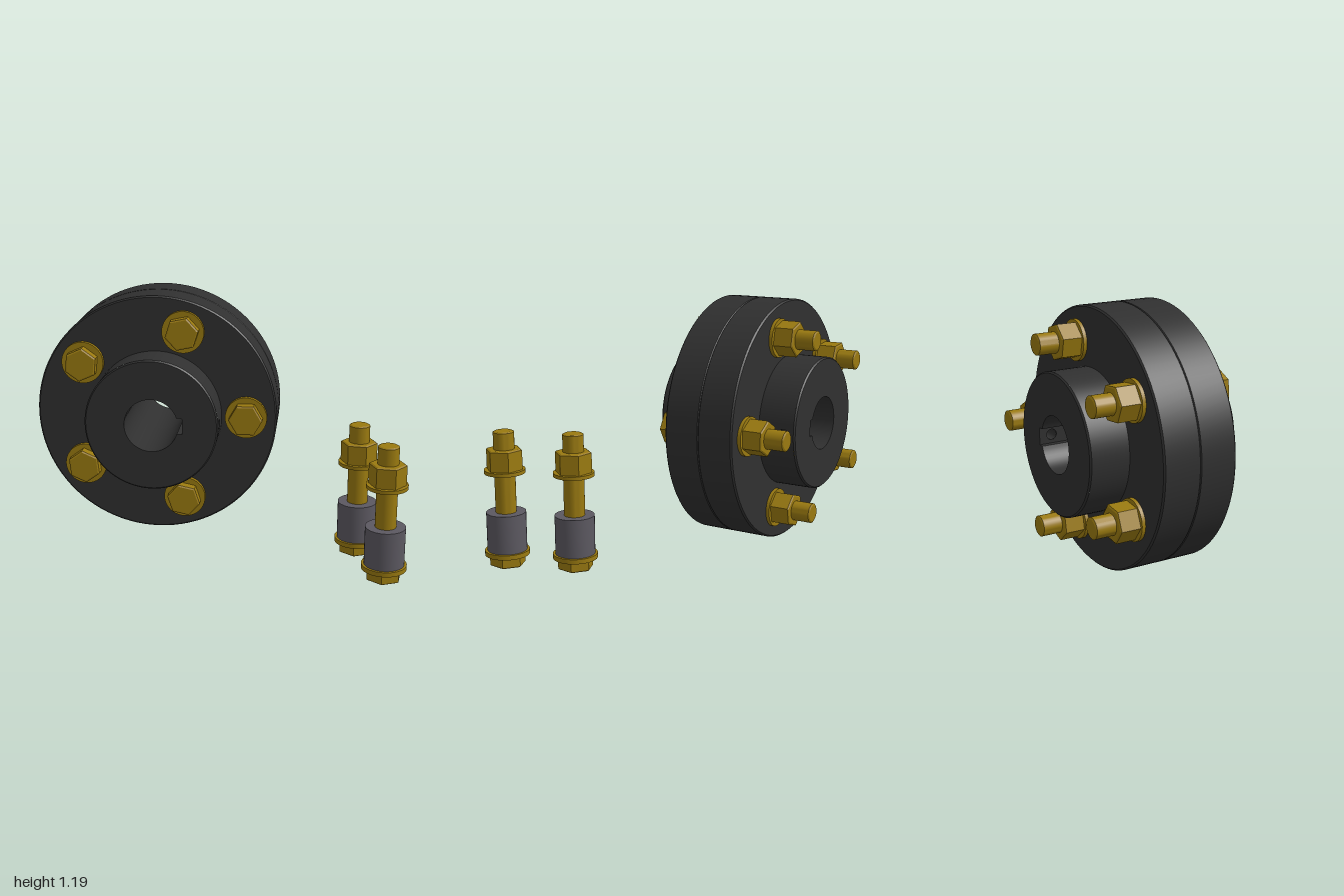
import * as THREE from 'three';
import { toCreasedNormals } from 'three/addons/utils/BufferGeometryUtils.js';
import { ParametricGeometry } from 'three/addons/geometries/ParametricGeometry.js';

const iron = new THREE.MeshStandardMaterial({ color: 0x303030 });
iron.name = 'dark iron';
const brass = new THREE.MeshStandardMaterial({ color: 0x9a7a10 });
brass.name = 'yellow plated steel';
const rubber = new THREE.MeshStandardMaterial({ color: 0x5c5961 });
rubber.name = 'grey rubber';

const TAU = Math.PI * 2;
const FLANGE_R = 0.594, FLANGE_Z = 0.177;
const HUB_R = 0.323, HUB_Z = 0.365, CHAMFER = 0.007;
const BORE_R = 0.13, KEY_HALF = 0.04, KEY_X = 0.15;
const SCREW_R = 0.024, SCREW_Z = 0.306;

function add(parent, name, geometry, material) {
  const mesh = new THREE.Mesh(geometry, material);
  mesh.name = name;
  parent.add(mesh);
  return mesh;
}

// Revolved profile of [radius, height] pairs, with sharp edges kept
function lathe(profile, sides) {
  const pts = profile.map(([r, h]) => new THREE.Vector2(r, h));
  return toCreasedNormals(new THREE.LatheGeometry(pts, sides), 0.5);
}

function surface(f, slices, stacks) {
  return new ParametricGeometry((u, v, target) => target.set(...f(u, v)), slices, stacks);
}

// Bore outline: one key side, the round bore, the other key side
function boreOutline() {
  const t0 = Math.asin(KEY_HALF / BORE_R);
  const pts = [[KEY_X, KEY_HALF]];
  for (let i = 0; i <= 48; i++) {
    const t = t0 + (TAU - 2 * t0) * i / 48;
    pts.push([BORE_R * Math.cos(t), BORE_R * Math.sin(t)]);
  }
  pts.push([KEY_X, -KEY_HALF]);
  return pts;
}

// One half of the coupling: flange and hub, facing +z
function couplingHalf(name) {
  const half = new THREE.Group();
  half.name = name;
  const wallTop = HUB_Z - CHAMFER;

  const flange = lathe([[FLANGE_R - 0.004, 0], [FLANGE_R, 0.004], [FLANGE_R, FLANGE_Z - CHAMFER],
    [FLANGE_R - CHAMFER, FLANGE_Z], [HUB_R - 0.01, FLANGE_Z]], 96);
  add(half, 'flange', flange.rotateX(Math.PI / 2), iron);

  // Hub wall, leaving a window on the key side for the set screw hole
  const a = 0.15;
  add(half, 'hubWall', surface((u, v) => {
    const t = a + (TAU - 2 * a) * u;
    return [HUB_R * Math.cos(t), HUB_R * Math.sin(t), FLANGE_Z + (wallTop - FLANGE_Z) * v];
  }, 72, 1), iron);

  // Curved patch around the set screw hole
  add(half, 'hubWallAroundScrewHole', surface((u, v) => {
    const c = Math.cos(-TAU * u), s = Math.sin(-TAU * u);
    const k = 1 / Math.max(Math.abs(c), Math.abs(s));
    const reach = s > 0 ? wallTop - SCREW_Z : SCREW_Z - FLANGE_Z;
    const t = THREE.MathUtils.lerp(SCREW_R / HUB_R * c, a * c * k, v);
    const z = SCREW_Z + THREE.MathUtils.lerp(SCREW_R * s, reach * s * k, v);
    return [HUB_R * Math.cos(t), HUB_R * Math.sin(t), z];
  }, 32, 4), iron);

  add(half, 'setScrewHole', surface((u, v) => {
    const y = SCREW_R * Math.cos(-TAU * u);
    const outer = Math.sqrt(HUB_R * HUB_R - y * y);
    return [THREE.MathUtils.lerp(KEY_X, outer, v), y, SCREW_Z + SCREW_R * Math.sin(-TAU * u)];
  }, 24, 1), iron);

  const rim = lathe([[HUB_R, wallTop], [HUB_R - CHAMFER, HUB_Z]], 72);
  add(half, 'hubChamfer', rim.rotateX(Math.PI / 2), iron);

  const outline = boreOutline();
  const face = new THREE.Shape().absarc(0, 0, HUB_R - CHAMFER, 0, TAU);
  face.holes.push(new THREE.Path(outline.map(([x, y]) => new THREE.Vector2(x, y))));
  add(half, 'hubFace', new THREE.ShapeGeometry(face, 72).translate(0, 0, HUB_Z), iron);

  const last = outline.length - 1;
  const bore = surface((u, v) => {
    const i = THREE.MathUtils.clamp(u * last, 0, last);
    const lo = Math.min(Math.floor(i + 1e-6), last - 1), f = i - lo;
    const [p, q] = [outline[lo], outline[lo + 1]];
    return [p[0] + (q[0] - p[0]) * f, p[1] + (q[1] - p[1]) * f, HUB_Z * (1 - v)];
  }, last, 1);
  add(half, 'boreWall', toCreasedNormals(bore, 0.5), iron);

  // Keyway floor, pierced by the set screw hole
  const floor = new THREE.Shape([[-KEY_HALF, 0], [KEY_HALF, 0], [KEY_HALF, HUB_Z], [-KEY_HALF, HUB_Z]]
    .map(([x, y]) => new THREE.Vector2(x, y)));
  floor.holes.push(new THREE.Path().absarc(0, SCREW_Z, SCREW_R, 0, TAU, true));
  const toKey = new THREE.Matrix4().makeBasis(new THREE.Vector3(0, -1, 0),
    new THREE.Vector3(0, 0, 1), new THREE.Vector3(-1, 0, 0)).setPosition(KEY_X, 0, 0);
  add(half, 'keywayFloor', new THREE.ShapeGeometry(floor, 24).applyMatrix4(toKey), iron);
  return half;
}

// Solid disc or hex block from y0 to y1, with optional chamfers at the ends
function block(r, y0, y1, sides, bottom = 0, top = 0) {
  const profile = [[0, y0], [r - bottom, y0]];
  if (bottom) profile.push([r, y0 + bottom * 0.6]);
  if (top) profile.push([r, y1 - top * 0.6]);
  profile.push([r - top, y1], [0, y1]);
  return lathe(profile, sides);
}

// Bolt standing on its head along +y; nutY is the underside of the nut washer
function bolt(name, nutY, withBushing) {
  const g = new THREE.Group();
  g.name = name;
  add(g, 'boltHead', block(0.083, 0, 0.053, 6, 0.008, 0).rotateY(Math.PI / 6), brass);
  add(g, 'headWasher', block(0.103, 0.052, 0.074, 40), brass);
  add(g, 'shank', block(0.048, 0.07, 0.637, 32, 0, 0.008), brass);
  add(g, 'nutWasher', block(0.094, nutY, nutY + 0.017, 40), brass);
  add(g, 'nut', block(0.085, nutY + 0.017, nutY + 0.113, 6, 0, 0.008), brass);
  if (withBushing) add(g, 'bushing', block(0.0915, 0.074, 0.255, 40), rubber);
  return g;
}

export function createModel() {
  const model = new THREE.Group();
  model.name = 'flangeCoupling';

  const coupling = new THREE.Group();
  coupling.name = 'coupling';
  coupling.position.set(-0.427, 0.6, 0.039);
  coupling.rotation.y = THREE.MathUtils.degToRad(37.8);
  const rear = couplingHalf('rearHalf');
  rear.rotation.x = Math.PI;
  coupling.add(couplingHalf('frontHalf'), rear);

  // Five bolts on a circle, heads to the front and nuts to the rear
  const headZ = FLANGE_Z + 0.074;
  for (let i = 0; i < 5; i++) {
    const arm = new THREE.Group();
    arm.name = 'boltPosition' + (i + 1);
    arm.rotation.z = i * TAU / 5;
    const b = bolt('couplingBolt', headZ + FLANGE_Z, false);
    b.position.set(0.444, 0, headZ);
    b.rotation.x = -Math.PI / 2;
    arm.add(b);
    coupling.add(arm);
  }
  model.add(coupling);

  // Two loose bolts with bushings standing beside the coupling
  [[0.612, -0.241], [0.892, -0.077]].forEach(([x, z], i) => {
    const b = bolt('looseBolt' + (i + 1), 0.441, true);
    b.position.set(x, 0.016, z);
    model.add(b);
  });
  return model;
}
